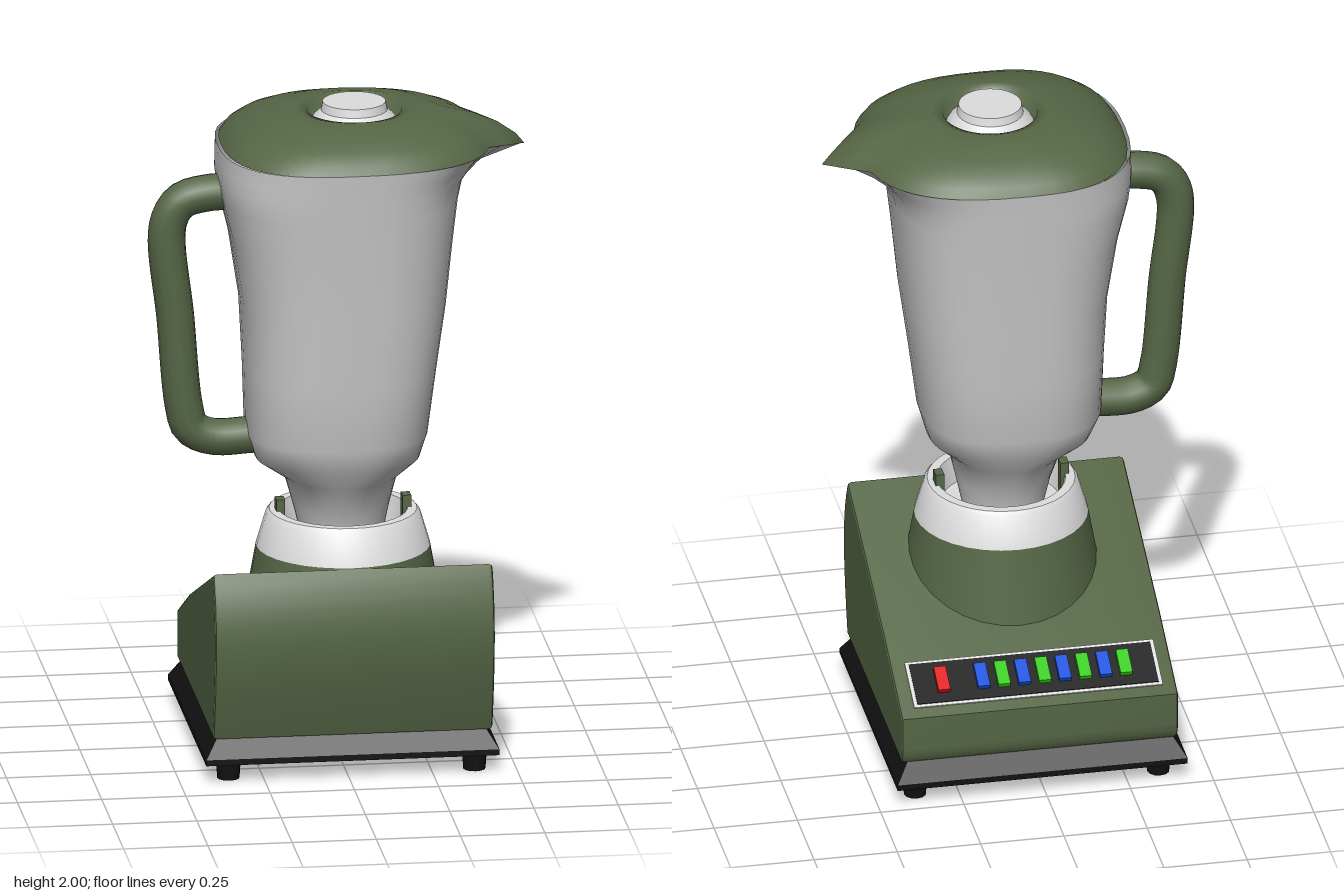
import * as THREE from 'three';
import { toCreasedNormals } from 'three/addons/utils/BufferGeometryUtils.js';

const mat = (name, color, side = THREE.FrontSide) => {
  const m = new THREE.MeshStandardMaterial({ color, side });
  m.name = name;
  return m;
};

// Surface through closed rings of points, listed from bottom to top
function loft(rings) {
  const n = rings[0].length, index = [];
  for (let r = 0; r < rings.length - 1; r++) {
    for (let i = 0; i < n; i++) {
      const a = r * n + i, b = r * n + (i + 1) % n;
      index.push(a, a + n, b, b, a + n, b + n);
    }
  }
  const g = new THREE.BufferGeometry();
  g.setAttribute('position', new THREE.Float32BufferAttribute(rings.flat(2), 3));
  g.setIndex(index);
  g.computeVertexNormals();
  return g;
}

const SEG = 48, CZ = 0.108;
const pow = (v, e) => Math.sign(v) * Math.abs(v) ** e;

// Rounded-square outline with a pointed pouring lip on +x
function outline(y, xMin, xMax, rz, n, lip) {
  return Array.from({ length: SEG }, (_, i) => {
    const a = i / SEG * Math.PI * 2, c = pow(Math.cos(a), 2 / n), s = pow(Math.sin(a), 2 / n);
    const bump = c > 0 ? Math.max(0, 1 - Math.abs(s * rz) / 0.13) : 0;
    return [c * (c > 0 ? xMax : -xMin) + lip * bump, y - lip * 0.27 * bump, CZ + s * rz];
  });
}

export function createModel() {
  const model = new THREE.Group();
  model.name = 'blender';
  const green = mat('olive green', 0x556645);
  const jarGrey = mat('jar grey', 0xcccccc, THREE.DoubleSide);
  const white = mat('off white', 0xdddddd, THREE.DoubleSide);
  const black = mat('black', 0x111111);
  const lime = mat('button green', 0x33cc11);
  const blue = mat('button blue', 0x1150dd);
  const red = mat('button red', 0xdd1111);

  const add = (name, geometry, material, x = 0, y = 0, z = 0, parent = model) => {
    const m = new THREE.Mesh(geometry, material);
    m.name = name;
    m.position.set(x, y, z);
    parent.add(m);
    return m;
  };
  const lathe = (pts, crease = 0.6) => toCreasedNormals(
    new THREE.LatheGeometry(pts.map(p => new THREE.Vector2(...p)), 32), crease);

  // Feet
  for (const x of [-0.352, 0.378]) for (const z of [0.33, -0.405])
    add('foot', new THREE.CylinderGeometry(0.038, 0.033, 0.07, 12), black, x, 0.035, z);

  // Base plate with sloping upper edge
  const plate = new THREE.BoxGeometry(0.87, 0.08, 0.87, 1, 2, 1);
  const pp = plate.attributes.position;
  for (let i = 0; i < pp.count; i++) {
    if (pp.getY(i) > 0.03) pp.setXYZ(i, pp.getX(i) * 0.91, 0.04, pp.getZ(i) * 0.91);
    else if (pp.getY(i) > -0.03) pp.setY(i, -0.022);
  }
  add('basePlate', toCreasedNormals(plate, 0.3), black, 0.01, 0.095, -0.046);

  // Housing: side profile extruded across the width
  const s = new THREE.Shape();
  s.moveTo(-0.365, 0.13);
  s.lineTo(0.445, 0.13);
  s.quadraticCurveTo(0.46, 0.15, 0.46, 0.18);
  s.lineTo(0.46, 0.28);
  s.lineTo(0.19, 0.41);
  s.lineTo(-0.365, 0.637);
  s.bezierCurveTo(-0.44, 0.5, -0.44, 0.38, -0.365, 0.13);
  const housing = new THREE.ExtrudeGeometry(s, {
    depth: 0.806, bevelThickness: 0.012, bevelSize: 0.01, bevelOffset: -0.01, bevelSegments: 2, curveSegments: 10,
  });
  housing.rotateY(Math.PI / 2);
  add('housing', toCreasedNormals(housing, 0.4), green, -0.39, 0, 0);

  // Pedestal and open collar
  add('pedestal', new THREE.CylinderGeometry(0.257, 0.3, 0.24, 32), green, 0.017, 0.52, CZ);
  add('collar', lathe([[0.257, 0.64], [0.228, 0.738], [0.218, 0.75], [0.19, 0.75], [0.175, 0.67], [0, 0.67]]),
    white, 0.017, 0, CZ);
  for (const side of [-1, 1])
    add('clip', new THREE.BoxGeometry(0.026, 0.11, 0.04), green, 0.017 + side * 0.187, 0.73, CZ);

  // Control panel on the rear slope
  const panel = new THREE.Group();
  panel.name = 'controlPanel';
  panel.position.set(0.0115, 0.332, -0.3525);
  panel.rotation.x = -Math.atan2(0.13, 0.27);
  model.add(panel);
  add('panelFrame', new THREE.BoxGeometry(0.746, 0.008, 0.166), white, 0, 0, 0, panel);
  add('panelFace', new THREE.BoxGeometry(0.724, 0.009, 0.146), black, 0, 0.002, 0, panel);
  for (let i = 0; i < 9; i++) {
    const x = i === 8 ? 0.276 : -0.2705 + i * 0.061;
    add('button', new THREE.BoxGeometry(0.036, 0.022, 0.085), i === 8 ? red : i % 2 ? blue : lime, x, 0.01, 0.003, panel);
  }

  // Jar
  const jarRows = [
    [0.68, -0.11, 0.135, 0.12, 2, 0], [0.76, -0.13, 0.152, 0.13, 2, 0],
    [0.86, -0.158, 0.175, 0.19, 2.1, 0], [0.92, -0.245, 0.24, 0.23, 2.4, 0],
    [1.0, -0.272, 0.262, 0.265, 2.6, 0], [1.2, -0.277, 0.287, 0.29, 2.7, 0],
    [1.4, -0.287, 0.315, 0.31, 2.7, 0], [1.6, -0.318, 0.335, 0.333, 2.7, 0],
    [1.73, -0.35, 0.35, 0.35, 2.7, 0], [1.79, -0.357, 0.362, 0.357, 2.7, 0.01],
    [1.835, -0.357, 0.395, 0.363, 2.6, 0.05], [1.88, -0.355, 0.435, 0.369, 2.6, 0.11],
  ];
  add('jar', loft(jarRows.map(r => outline(...r))), jarGrey);

  // Lid: blends from the jar outline to a round recess in the middle
  const rim = outline(1.88, -0.345, 0.445, 0.371, 2.6, 0.11);
  const lidRows = [[1, 1.88, 0.135], [0.93, 1.906, 0.135], [0.78, 1.935, 0.135], [0.6, 1.955, 0.135],
    [0.35, 1.974, 0.135], [0.12, 1.982, 0.135], [0, 1.975, 0.14], [0, 1.93, 0.125], [0, 1.92, 0.05]];
  add('lid', loft(lidRows.map(([t, y, r]) => rim.map((p, i) => {
    const a = i / SEG * Math.PI * 2;
    return [
      THREE.MathUtils.lerp(0.05 + r * Math.cos(a), p[0], t),
      y + (p[1] - 1.88) * t ** 3,
      THREE.MathUtils.lerp(CZ + r * Math.sin(a), p[2], t),
    ];
  }))), green);

  // Filler cap
  add('fillerCap', lathe([[0.132, 1.935], [0.12, 1.955], [0.098, 1.975], [0.093, 2], [0, 2]]), white, 0.05, 0, CZ);

  // Handle
  const path = new THREE.CatmullRomCurve3([
    [-0.28, 1.735], [-0.39, 1.733], [-0.465, 1.71], [-0.503, 1.64], [-0.48, 1.35],
    [-0.455, 1.08], [-0.435, 1.015], [-0.375, 0.984], [-0.25, 0.985],
  ].map(([x, y]) => new THREE.Vector3(x, y, CZ)));
  add('handle', new THREE.TubeGeometry(path, 48, 0.056, 12), green);

  return model;
}
